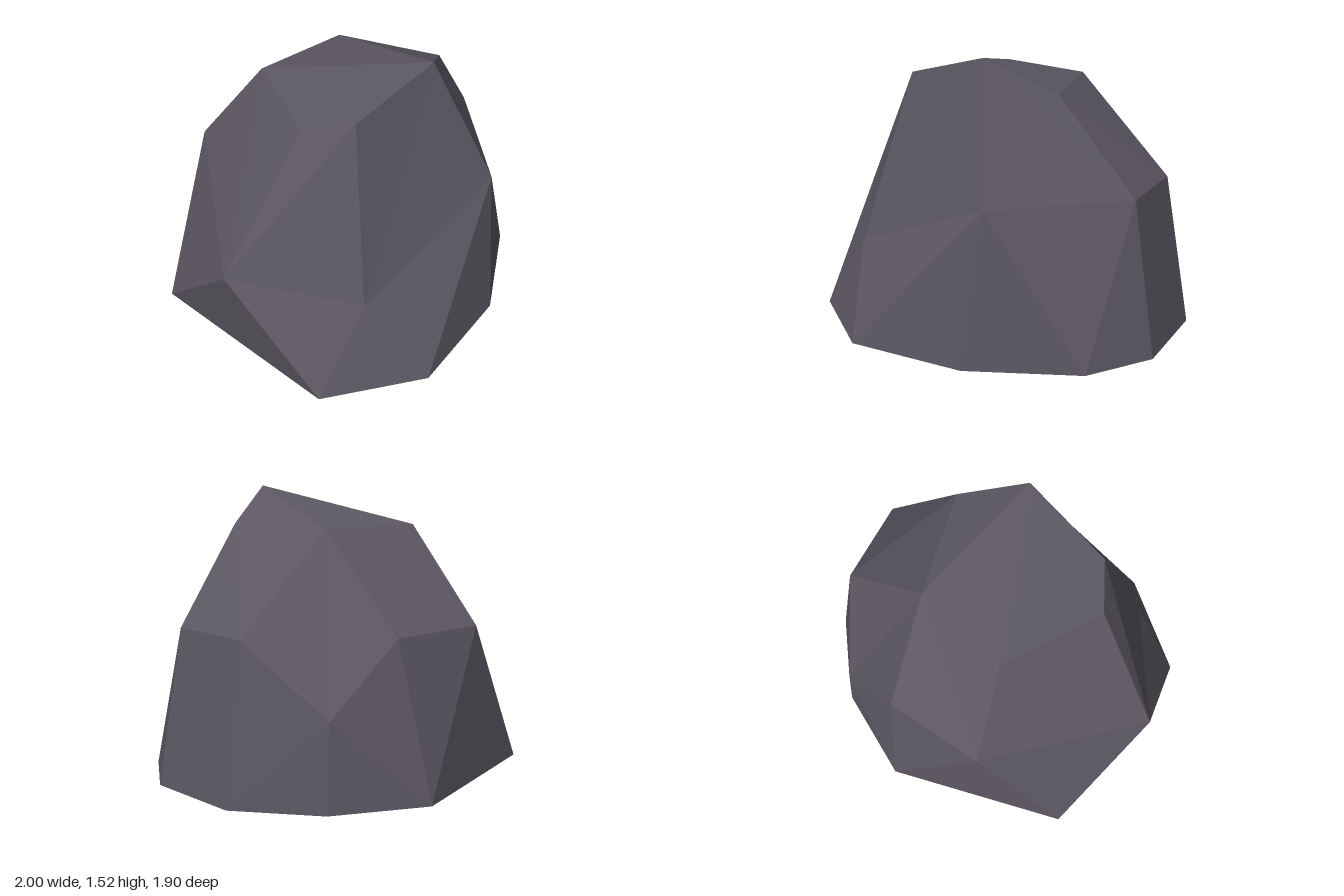
import * as THREE from 'three';

// Corner points of the boulder, by ring
const CORNERS = {
  // ground ring
  a0: [-0.82, 0, 0.68], a1: [-0.29, 0, 0.95], a2: [0.36, 0, 0.79],
  a3: [0.86, 0, 0.41], a4: [1, 0, 0.03], a5: [0.86, 0, -0.49],
  a6: [0.47, 0, -0.81], a7: [-0.05, 0, -0.95], a8: [-0.95, 0, -0.49],
  // middle ring
  b0: [-1, 0.59, 0.16], b1: [-0.5, 0.46, 0.67], b2: [0.41, 0.83, 0.67],
  b3: [0.86, 0.83, 0.03], b4: [0.74, 0.83, -0.42], b5: [0.44, 0.46, -0.78],
  b6: [0.05, 0.83, -0.78], b7: [-0.5, 0.83, -0.69],
  // crown ring
  c0: [-0.52, 1.32, 0.22], c1: [-0.34, 1.38, 0.42], c2: [0.18, 1.52, 0.42],
  c3: [0.47, 1.34, 0.18], c4: [0.21, 1.34, -0.34], c5: [-0.33, 1.34, -0.34],
};

// Facets as corner loops, each fanned from its first corner
const CROWN = ['c2 c3 c4 c5 c0 c1'];
const FLANKS = [
  'c1 b1 b0 c0', 'c2 c1 b1 b2', 'c2 b2 b3 c3', 'c3 b3 b4 c4',
  'c4 b4 b5', 'c4 b5 b6', 'c4 b6 b7 c5', 'c5 b7 b0 c0',
];
const FOOT = [
  'b0 a0 b1', 'b1 a0 a1', 'b1 a1 b2', 'b2 a1 a2', 'b2 a2 a3', 'b2 a3 b3',
  'b3 a3 a4', 'b3 a4 a5 b4', 'b4 a5 b5', 'b5 a5 a6', 'b5 a6 a7', 'b5 a7 b6',
  'b7 b6 a7 a8', 'b7 a8 b0', 'b0 a8 a0',
];
const UNDERSIDE = ['a0 a1 a2 a3 a4 a5 a6 a7 a8'];

// Builds flat facets, turning each triangle to face away from the core
function facetGeometry(loops) {
  const core = new THREE.Vector3(0, 0.6, 0);
  const positions = [];
  for (const loop of loops) {
    const points = loop.split(' ').map((k) => new THREE.Vector3(...CORNERS[k]));
    for (let i = 1; i < points.length - 1; i++) {
      const tri = [points[0], points[i], points[i + 1]];
      const normal = new THREE.Triangle(...tri).getNormal(new THREE.Vector3());
      if (normal.dot(tri[0].clone().sub(core)) < 0) tri.reverse();
      tri.forEach((p) => positions.push(p.x, p.y, p.z));
    }
  }
  const geometry = new THREE.BufferGeometry();
  geometry.setAttribute('position', new THREE.Float32BufferAttribute(positions, 3));
  geometry.computeVertexNormals();
  return geometry;
}

export function createModel() {
  const group = new THREE.Group();
  group.name = 'boulder';
  const stone = new THREE.MeshStandardMaterial({ color: 0x5c5762 });
  stone.name = 'dark grey stone';
  stone.flatShading = true;

  const parts = { crown: CROWN, flanks: FLANKS, foot: FOOT, underside: UNDERSIDE };
  for (const [name, loops] of Object.entries(parts)) {
    const mesh = new THREE.Mesh(facetGeometry(loops), stone);
    mesh.name = name;
    group.add(mesh);
  }
  return group;
}
